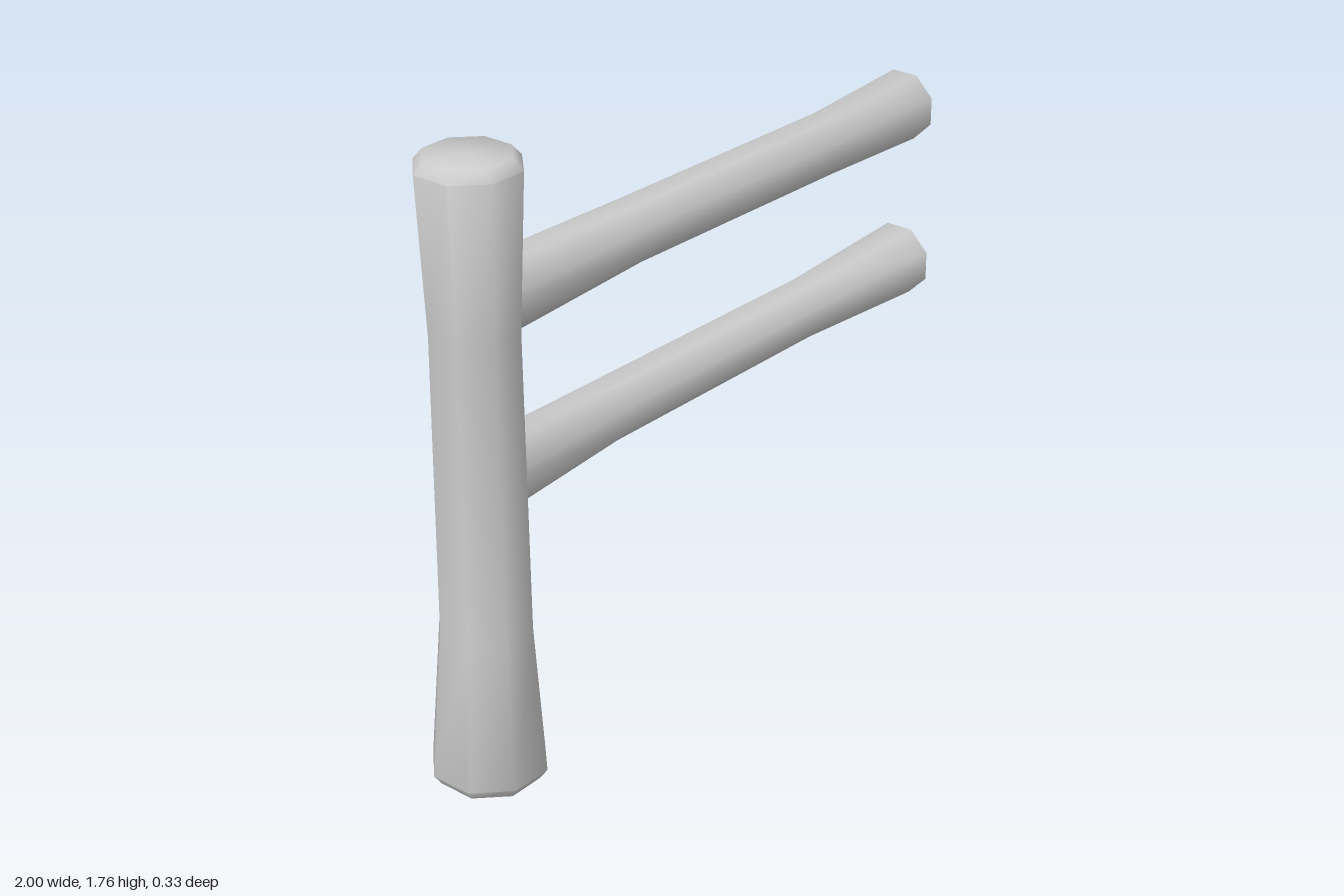
import * as THREE from 'three';
import { toCreasedNormals } from 'three/addons/utils/BufferGeometryUtils.js';

const SIDES = 8;

// Lofts octagons with flats facing the axes; each section is [x, y, z, half width].
function loft(sections, alongX, capped) {
  const pos = [], idx = [];
  for (const [x, y, z, half] of sections) {
    const r = half / Math.cos(Math.PI / SIDES);
    for (let i = 0; i < SIDES; i++) {
      const a = ((i + 0.5) / SIDES) * Math.PI * 2;
      const c = r * Math.cos(a), s = r * Math.sin(a);
      if (alongX) pos.push(x, y + c, z - s);
      else pos.push(x + c, y, z + s);
    }
  }
  const last = sections.length - 1;
  for (let j = 0; j < last; j++) {
    for (let i = 0; i < SIDES; i++) {
      const n = (i + 1) % SIDES;
      const a = j * SIDES + i, b = j * SIDES + n;
      idx.push(a, a + SIDES, b, b, a + SIDES, b + SIDES);
    }
  }
  if (capped) {
    const bottom = pos.length / 3, top = bottom + 1;
    pos.push(...sections[0].slice(0, 3), ...sections[last].slice(0, 3));
    for (let i = 0; i < SIDES; i++) {
      const n = (i + 1) % SIDES;
      idx.push(bottom, i, n, top, last * SIDES + n, last * SIDES + i);
    }
  }
  const geo = new THREE.BufferGeometry();
  geo.setAttribute('position', new THREE.Float32BufferAttribute(pos, 3));
  geo.setIndex(idx);
  return toCreasedNormals(geo, 0.9);
}

export function createModel() {
  const group = new THREE.Group();
  const wood = new THREE.MeshStandardMaterial({ color: 0xcccccc });
  const openWood = new THREE.MeshStandardMaterial({ color: 0xcccccc, side: THREE.DoubleSide });

  function add(name, geometry, material) {
    const mesh = new THREE.Mesh(geometry, material);
    mesh.name = name;
    group.add(mesh);
  }

  // Upright post, flared at both ends with bevelled rims
  add('post', loft([
    [-0.85, 0, 0.015, 0.13],
    [-0.85, 0.03, 0.015, 0.15],
    [-0.84, 0.45, 0.01, 0.12],
    [-0.842, 1.3, 0.01, 0.114],
    [-0.84, 1.73, 0.008, 0.132],
    [-0.84, 1.76, 0.008, 0.108],
  ], false, true), wood);

  // Crooked hollow rails, open at the far end
  add('upperRail', loft([
    [-0.82, 1.354, 0.005, 0.098],
    [-0.24, 1.362, 0.007, 0.082],
    [0.51, 1.392, 0.071, 0.082],
    [1, 1.353, 0.005, 0.098],
  ], true, false), openWood);
  add('lowerRail', loft([
    [-0.82, 0.862, 0.005, 0.096],
    [-0.24, 0.807, -0.083, 0.083],
    [0.51, 0.868, 0.008, 0.08],
    [1, 0.862, 0.006, 0.102],
  ], true, false), openWood);

  return group;
}
